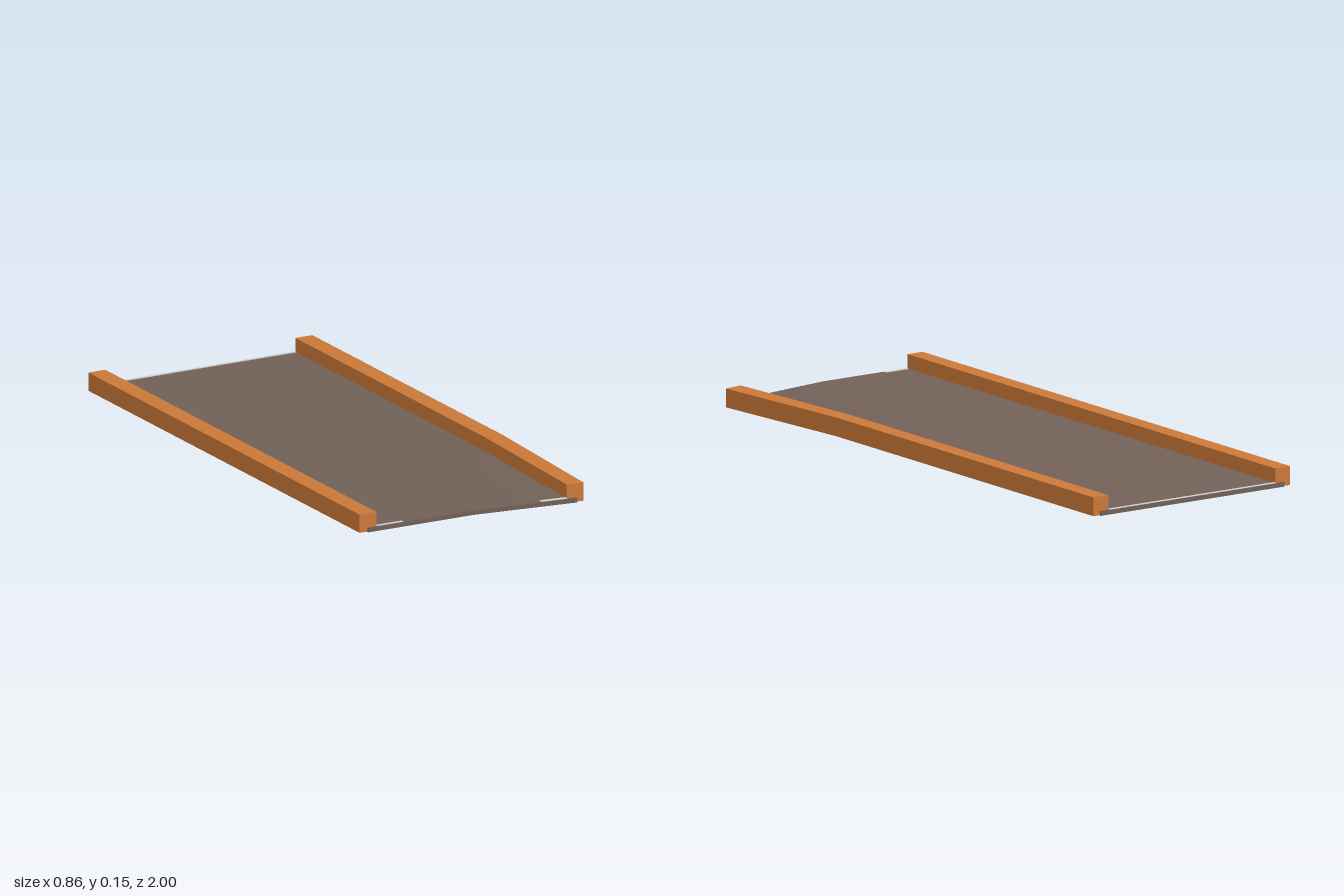
import * as THREE from 'three';

// Height of the underside: an even slope, with the +x front corner sagging
function baseHeight(x, z) {
  const slope = 0.002 + 0.0425 * (z + 1);
  const sag = 0.019 * Math.max(0, x / 0.43) * Math.max(0, (z - 0.4) / 0.6);
  return slope - sag;
}

// Box from (x0, y0, z0) to (x1, y1, z1), with y measured from the sloping base
function slopedBox(name, material, [x0, x1], [y0, y1], [z0, z1], xSegments = 1, zSegments = 1) {
  const geometry = new THREE.BoxGeometry(x1 - x0, y1 - y0, z1 - z0, xSegments, 1, zSegments);
  geometry.translate((x0 + x1) / 2, (y0 + y1) / 2, (z0 + z1) / 2);
  const p = geometry.attributes.position;
  for (let i = 0; i < p.count; i++) {
    p.setY(i, p.getY(i) + baseHeight(p.getX(i), p.getZ(i)));
  }
  geometry.computeVertexNormals();
  const mesh = new THREE.Mesh(geometry, material);
  mesh.name = name;
  return mesh;
}

export function createModel() {
  const orange = new THREE.MeshStandardMaterial({ name: 'orange rail', color: 0xcb7838 });
  const brown = new THREE.MeshStandardMaterial({ name: 'grey brown deck', color: 0x716157 });
  const pale = new THREE.MeshStandardMaterial({ name: 'pale grey edge', color: 0xd0d0cc });

  const group = new THREE.Group();
  group.name = 'ramp';

  // Deck slab, running under both rails
  group.add(slopedBox('deck', brown, [-0.4, 0.4], [-0.001, 0.015], [-1, 1], 8, 20));

  // Side rails
  group.add(slopedBox('rightRail', orange, [-0.43, -0.365], [0, 0.065], [-0.994, 0.992], 1, 20));
  group.add(slopedBox('leftRail', orange, [0.363, 0.428], [0, 0.065], [-0.994, 0.992], 1, 20));

  // Thin worn strips on the deck ends
  const strip = [0.014, 0.0165];
  group.add(slopedBox('backEdge', pale, [-0.365, 0.363], strip, [-0.999, -0.987], 8));
  group.add(slopedBox('frontEdgeRight', pale, [-0.365, -0.265], strip, [0.984, 0.996]));
  group.add(slopedBox('frontEdgeLeft', pale, [0.265, 0.363], strip, [0.98, 0.996]));

  return group;
}
